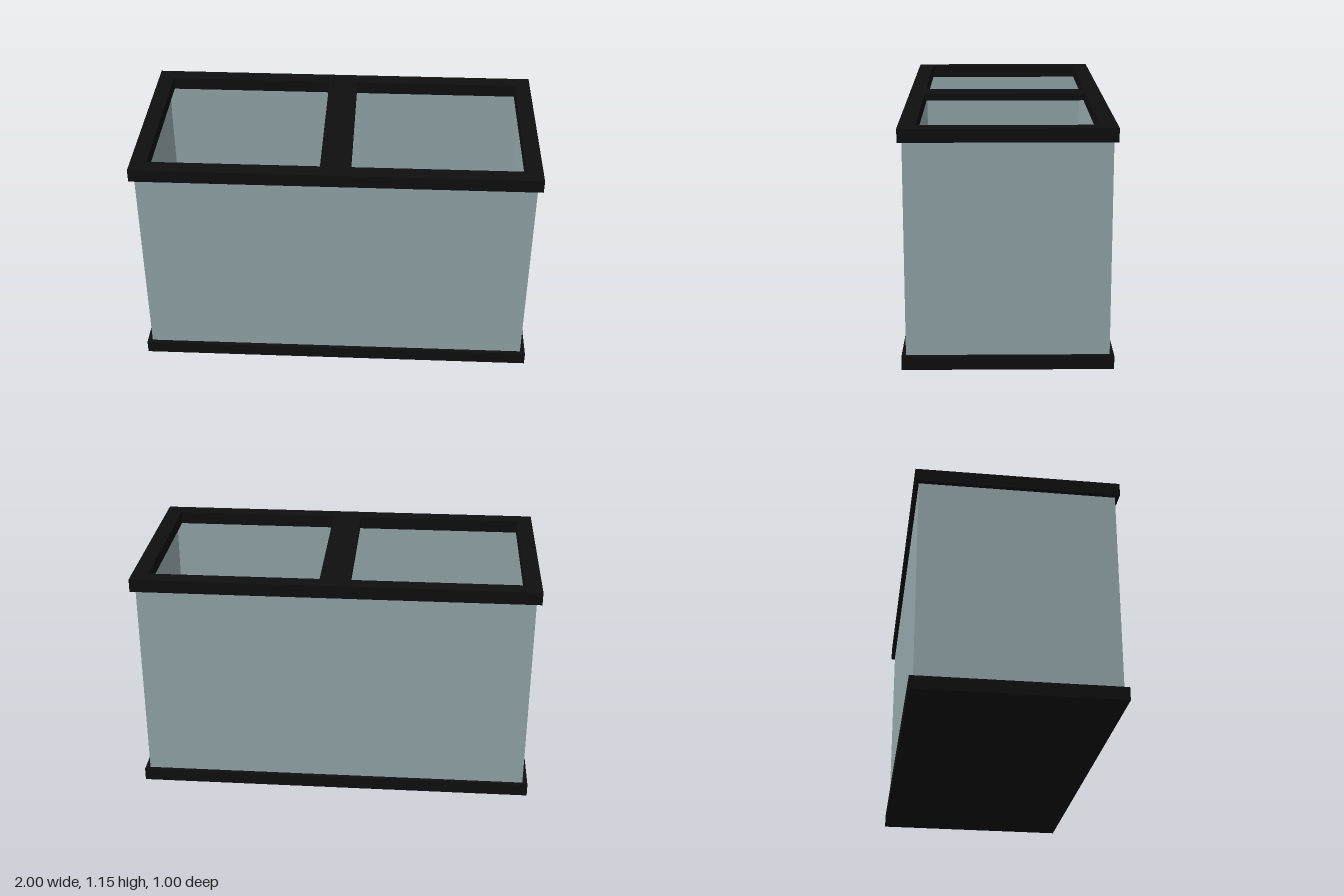
import * as THREE from 'three';

export function createModel() {
  const model = new THREE.Group();
  model.name = 'tank';

  const black = new THREE.MeshStandardMaterial({ color: 0x0f0f0f });
  black.name = 'black trim';
  const glass = new THREE.MeshStandardMaterial({ color: 0x96a9ad });
  glass.name = 'grey glass';

  const box = (name, material, w, h, d, x, y, z) => {
    const mesh = new THREE.Mesh(new THREE.BoxGeometry(w, h, d), material);
    mesh.name = name;
    mesh.position.set(x, y, z);
    model.add(mesh);
  };

  const height = 1.155, trim = 0.065;
  const wallHeight = height - 2 * trim, midY = height / 2;
  const glassX = 0.975, glassZ = 0.48, pane = 0.02;

  // Solid base
  box('base', black, 2, trim, 1, 0, trim / 2, 0);

  // Four glass panes
  for (const s of [1, -1]) {
    box(s > 0 ? 'frontPane' : 'backPane', glass,
      2 * glassX, wallHeight, pane, 0, midY, s * (glassZ - pane / 2));
    box(s > 0 ? 'leftPane' : 'rightPane', glass,
      pane, wallHeight, 2 * (glassZ - pane), s * (glassX - pane / 2), midY, 0);
  }

  // Top rim with one large opening
  const innerX = 0.92, innerZ = 0.42;
  const rim = new THREE.Shape([[-1, -0.5], [1, -0.5], [1, 0.5], [-1, 0.5]]
    .map(([x, y]) => new THREE.Vector2(x, y)));
  rim.holes.push(new THREE.Path(
    [[-innerX, -innerZ], [-innerX, innerZ], [innerX, innerZ], [innerX, -innerZ]]
      .map(([x, y]) => new THREE.Vector2(x, y))));
  const rimGeometry = new THREE.ExtrudeGeometry(rim, { depth: trim, bevelEnabled: false });
  rimGeometry.rotateX(-Math.PI / 2);
  const topRim = new THREE.Mesh(rimGeometry, black);
  topRim.name = 'topRim';
  topRim.position.y = height - trim;
  model.add(topRim);

  // Brace across the middle of the opening
  const braceHeight = 0.035;
  box('centreBrace', black, 0.15, braceHeight, 2 * innerZ, 0, height - braceHeight / 2, 0);

  return model;
}
